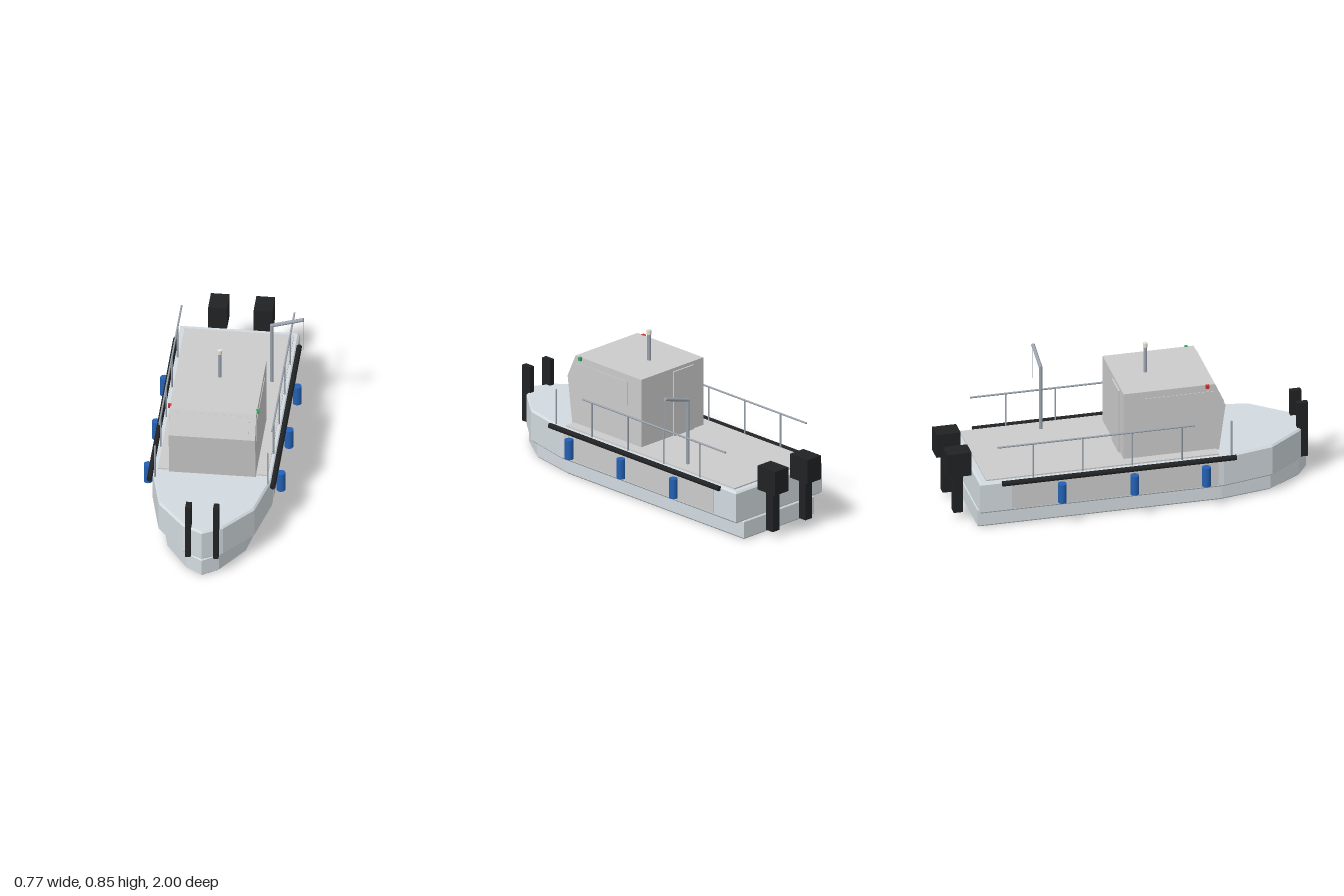
import * as THREE from 'three';

const mat = (color) => new THREE.MeshStandardMaterial({ color });

export function createModel() {
  const model = new THREE.Group();
  model.name = 'workboat';
  const boat = new THREE.Group();
  boat.name = 'boat';
  boat.position.x = -0.01; // the crane arm overhangs to the left
  model.add(boat);

  const grey = mat(0xcccccc), paint = mat(0xd3dbe0), metal = mat(0x9aa3ad);
  const black = mat(0x202224), blue = mat(0x2461b4), red = mat(0xc8322b);
  const green = mat(0x2fa85a), cream = mat(0xe6e3d2);

  const add = (name, geo, material, x = 0, y = 0, z = 0) => {
    const m = new THREE.Mesh(geo, material);
    m.name = name;
    m.position.set(x, y, z);
    boat.add(m);
    return m;
  };
  const box = (name, material, w, h, d, x, y, z) =>
    add(name, new THREE.BoxGeometry(w, h, d), material, x, y, z);
  // Round bar between two points
  const bar = (name, material, r, a, b, sides = 12) => {
    const p = new THREE.Vector3(...a), q = new THREE.Vector3(...b);
    const m = add(name, new THREE.CylinderGeometry(r, r, p.distanceTo(q), sides), material);
    m.position.copy(p).add(q).multiplyScalar(0.5);
    m.quaternion.setFromUnitVectors(new THREE.Vector3(0, 1, 0), q.sub(p).normalize());
    return m;
  };

  // Hull: one plan outline, extruded downwards with a chamfer
  const half = [[0.318, -0.858], [0.318, 0.47], [0.255, 0.75], [0.107, 0.935]];
  const hull = (name, k, bottom, top) => {
    const pts = [
      ...half.map(([x, z]) => new THREE.Vector2(x * k, z)),
      new THREE.Vector2(0, 0.995),
      ...half.slice().reverse().map(([x, z]) => new THREE.Vector2(-x * k, z)),
    ];
    const c = 0.01;
    const geo = new THREE.ExtrudeGeometry(new THREE.Shape(pts), {
      depth: top - bottom - 2 * c, bevelEnabled: true, bevelSegments: 1,
      bevelSize: c, bevelThickness: c, bevelOffset: -c,
    });
    geo.rotateX(Math.PI / 2);
    add(name, geo, paint, 0, top - c, 0);
  };
  hull('lowerHull', 0.82, 0, 0.11);
  hull('upperHull', 1, 0.105, 0.285);
  box('deck', grey, 0.584, 0.012, 1.27, 0, 0.286, -0.185);

  // Wheelhouse: side profile extruded across the beam
  const profile = [[0.055, 0.285], [-0.465, 0.285], [-0.5, 0.545], [-0.44, 0.675], [0.055, 0.675]];
  const cabin = new THREE.ExtrudeGeometry(
    new THREE.Shape(profile.map(([x, y]) => new THREE.Vector2(x, y)).reverse()),
    { depth: 0.46, bevelEnabled: false });
  cabin.translate(0, 0, -0.23).rotateY(Math.PI / 2);
  add('cabin', cabin, grey);
  const windscreen = box('windscreen', grey, 0.39, 0.122, 0.006, 0, 0.606, 0.472);
  windscreen.rotation.x = -Math.atan2(0.06, 0.13);
  box('cabinDoor', grey, 0.148, 0.37, 0.016, -0.078, 0.472, -0.056);

  // Mast with its lamp
  bar('mast', metal, 0.01, [0, 0.67, 0.12], [0, 0.822, 0.12], 16);
  bar('mastLight', cream, 0.0125, [0, 0.822, 0.12], [0, 0.846, 0.12], 16);

  // Parts that repeat on both sides
  for (const s of [1, -1]) {
    box('sideWindow', grey, 0.006, 0.134, 0.39, s * 0.23, 0.568, 0.245);
    box('hullPanel', grey, 0.006, 0.145, 1.125, s * 0.3175, 0.193, -0.123);
    box('navigationLight', s > 0 ? green : red, 0.018, 0.018, 0.018, s * 0.234, 0.667, 0.4);
    bar('rubRail', black, 0.0145, [s * 0.328, 0.277, 0.535], [s * 0.328, 0.277, -0.74], 16);

    for (const z of [0.365, -0.025, -0.42])
      bar('fender', blue, 0.0235, [s * 0.353, 0.143, z], [s * 0.353, 0.253, z], 20);

    // Handrail
    bar('handrail', metal, 0.005, [s * 0.3, 0.48, 0.315], [s * 0.3, 0.48, -0.76]);
    for (const z of [0.515, 0.245, -0.025, -0.295, -0.565])
      bar('handrailPost', metal, 0.0045, [s * 0.3, 0.28, z], [s * 0.3, 0.482, z]);

    box('bowPushPost', black, 0.03, 0.317, 0.06, s * 0.074, 0.271, 0.955);

    // Outboard motor
    box('outboardMotor', black, 0.1, 0.135, 0.132, s * 0.121, 0.333, -0.934);
    box('outboardLeg', black, 0.05, 0.225, 0.05, s * 0.121, 0.153, -0.934);
  }

  // Deck crane on the left side
  bar('cranePost', metal, 0.01, [0.22, 0.285, -0.395], [0.22, 0.66, -0.395]);
  bar('craneArm', metal, 0.01, [0.215, 0.653, -0.395], [0.389, 0.705, -0.395]);
  bar('craneCable', metal, 0.0015, [0.391, 0.7, -0.395], [0.391, 0.508, -0.395], 8);

  return model;
}
